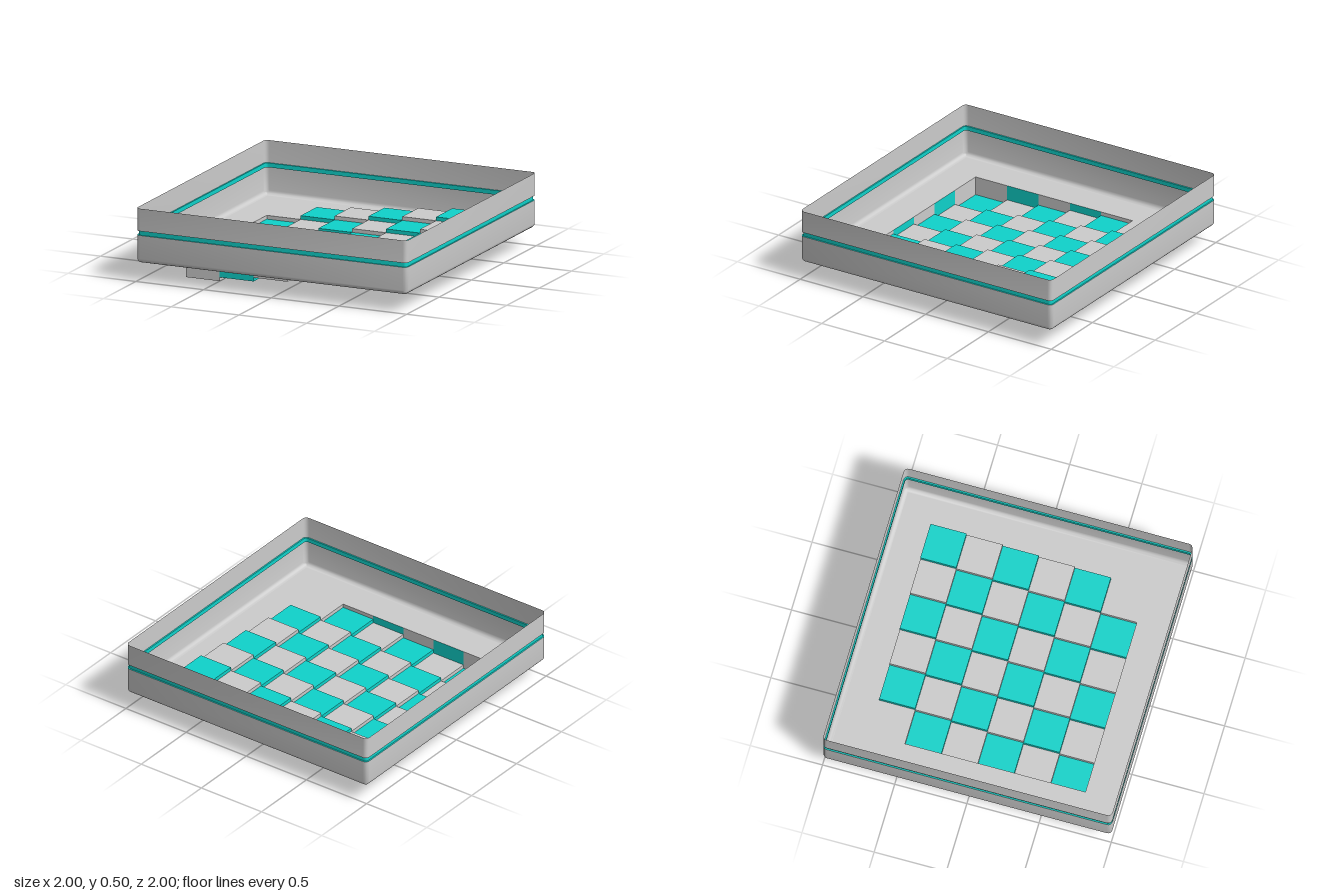
import * as THREE from 'three';
import { toCreasedNormals } from 'three/addons/utils/BufferGeometryUtils.js';

const grey = new THREE.MeshStandardMaterial({ color: 0xcccccc, side: THREE.DoubleSide });
const teal = new THREE.MeshStandardMaterial({ color: 0x0fd2ca, side: THREE.DoubleSide });

const FLOOR = 0.13, STEP = 0.026, CELL = 0.25, N = 6, HALF = 0.75, FILLET = 0.03;

// Outline of a rounded square, inset from the tray's outer edge
function ring(inset, steps = 4) {
  const r = Math.max(FILLET - inset, 0.004);
  const k = 1 - inset - r;
  const pts = [];
  [[1, 1], [-1, 1], [-1, -1], [1, -1]].forEach(([sx, sz], q) => {
    for (let i = 0; i <= steps; i++) {
      const a = (q + i / steps) * Math.PI / 2;
      pts.push([sx * k + r * Math.cos(a), sz * k + r * Math.sin(a)]);
    }
  });
  return pts;
}

// Open sheet running round the tray through a profile of [inset, y] points
function band(name, profile, material) {
  const pos = [], idx = [];
  profile.forEach(([inset, y]) => ring(inset).forEach(([x, z]) => pos.push(x, y, z)));
  const n = ring(0).length;
  for (let j = 0; j < profile.length - 1; j++) {
    for (let i = 0; i < n; i++) {
      const a = j * n + i, b = j * n + (i + 1) % n;
      idx.push(a, a + n, b, b, a + n, b + n);
    }
  }
  const geo = new THREE.BufferGeometry();
  geo.setAttribute('position', new THREE.Float32BufferAttribute(pos, 3));
  geo.setIndex(idx);
  const mesh = new THREE.Mesh(toCreasedNormals(geo, 0.7), material);
  mesh.name = name;
  return mesh;
}

// Floor frame around the square field of tiles
function floorFrame() {
  const shape = new THREE.Shape(ring(FILLET).map(([x, z]) => new THREE.Vector2(x, z)));
  shape.holes.push(new THREE.Path([[-1, -1], [-1, 1], [1, 1], [1, -1]]
    .map(([x, z]) => new THREE.Vector2(x * HALF, z * HALF))));
  const mesh = new THREE.Mesh(new THREE.ShapeGeometry(shape).rotateX(-Math.PI / 2), grey);
  mesh.position.y = FLOOR;
  mesh.name = 'floorFrame';
  return mesh;
}

// Tiles climb to the right (+x) and to the back (-z); outside is plain floor
const inside = (c, r) => c >= 0 && c < N && r >= 0 && r < N;
const height = (c, r) => FLOOR + (inside(c, r) ? STEP * (c - r) : 0);
const tileColor = (c, r) => ((c + r) % 2 ? teal : grey);
const riserColor = (c, r) => ((c + r) % 2 ? grey : teal);

function riser(x, z, y0, y1, turn, material) {
  if (Math.abs(y1 - y0) < 1e-4) return null;
  const mesh = new THREE.Mesh(new THREE.PlaneGeometry(CELL, Math.abs(y1 - y0)), material);
  mesh.position.set(x, (y0 + y1) / 2, z);
  mesh.rotation.y = turn;
  mesh.name = 'riser';
  return mesh;
}

function tileField() {
  const field = new THREE.Group();
  field.name = 'steppedTiles';
  const add = (m) => { if (m) field.add(m); };
  for (let i = 0; i <= N; i++) {
    const edge = -HALF + i * CELL;
    for (let j = 0; j < N; j++) {
      const mid = -HALF + (j + 0.5) * CELL;
      // Risers across x, then across z, coloured against the lower tile
      add(riser(edge, mid, height(i - 1, j), height(i, j), Math.PI / 2,
        riserColor(Math.max(i - 1, 0), j)));
      add(riser(mid, edge, height(j, i - 1), height(j, i), 0,
        riserColor(j, Math.min(i, N - 1))));
      if (i === N) continue;
      const tile = new THREE.Mesh(
        new THREE.PlaneGeometry(CELL, CELL).rotateX(-Math.PI / 2), tileColor(i, j));
      tile.position.set(edge + CELL / 2, height(i, j), mid);
      tile.name = 'tile';
      add(tile);
    }
  }
  return field;
}

export function createModel() {
  const model = new THREE.Group();
  model.name = 'steppedTray';

  // Lower wall curving into the floor
  const lower = [];
  for (let i = 0; i <= 5; i++) {
    const a = (i / 5) * Math.PI / 2;
    lower.push([FILLET * (1 - Math.sin(a)), FLOOR + FILLET * (1 - Math.cos(a))]);
  }
  lower.push([0, 0.32]);

  model.add(
    floorFrame(),
    band('lowerWall', lower, grey),
    band('grooveBand', [[0, 0.32], [0.01, 0.32], [0.01, 0.35], [0, 0.35]], teal),
    band('upperWall', [[0, 0.35], [0, 0.505]], grey),
    tileField(),
  );
  return model;
}
